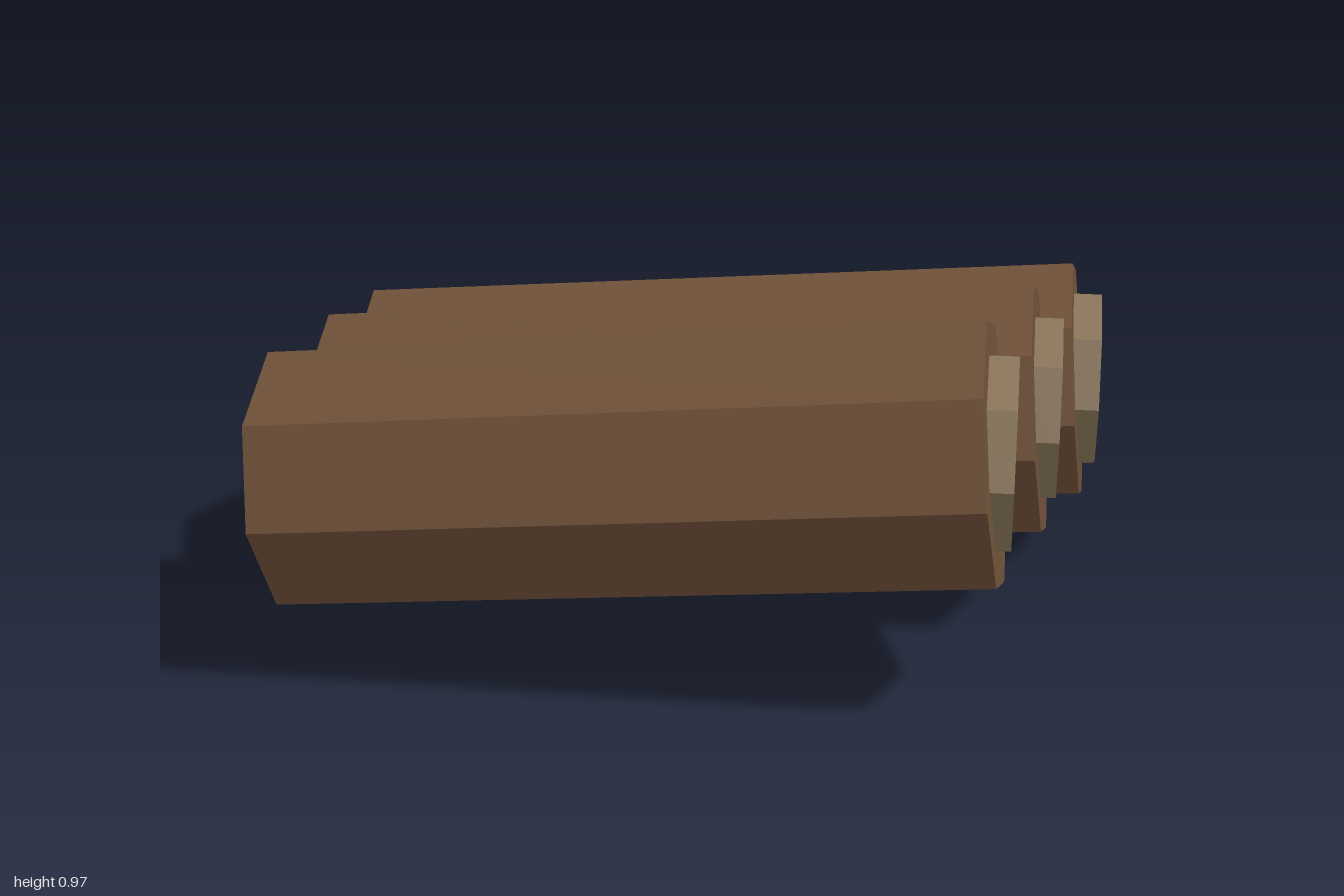
import * as THREE from 'three';

export function createModel() {
  const group = new THREE.Group();
  const bark = new THREE.MeshStandardMaterial({ color: 0x6e5038, flatShading: true });
  bark.name = 'bark brown';
  const wood = new THREE.MeshStandardMaterial({ color: 0x887459, flatShading: true });
  wood.name = 'cut wood';
  const up = new THREE.Vector3(0, 1, 0);

  // Eight-sided cylinder running from one point to another
  function rod(name, from, to, radius, material) {
    const axis = to.clone().sub(from);
    const mesh = new THREE.Mesh(new THREE.CylinderGeometry(radius, radius, axis.length(), 8), material);
    mesh.name = name;
    mesh.position.copy(from).add(to).multiplyScalar(0.5);
    mesh.quaternion.setFromUnitVectors(up, axis.normalize());
    return mesh;
  }

  // Centre of each log's right end, and the x where its cut disc stops
  const logs = [
    { name: 'frontLog', end: [0.74, 0.645, 0.508], discX: 0.785 },
    { name: 'middleLog', end: [0.845, 0.575, 0], discX: 0.892 },
    { name: 'backLog', end: [0.948, 0.505, -0.435], discX: 1 },
  ];

  for (const { name, end, discX } of logs) {
    const right = new THREE.Vector3(...end);
    const left = new THREE.Vector3(-0.968, right.y - 0.174, right.z - 0.07);
    const log = new THREE.Group();
    log.name = name;
    log.add(rod('trunk', left, right, 0.328, bark));
    // The disc lies level, its back sunk into the tilted trunk end
    const discEnd = right.clone().setX(discX);
    const discStart = right.clone().setX(discX - 0.1);
    log.add(rod('cutDisc', discStart, discEnd, 0.24, wood));
    group.add(log);
  }
  return group;
}
